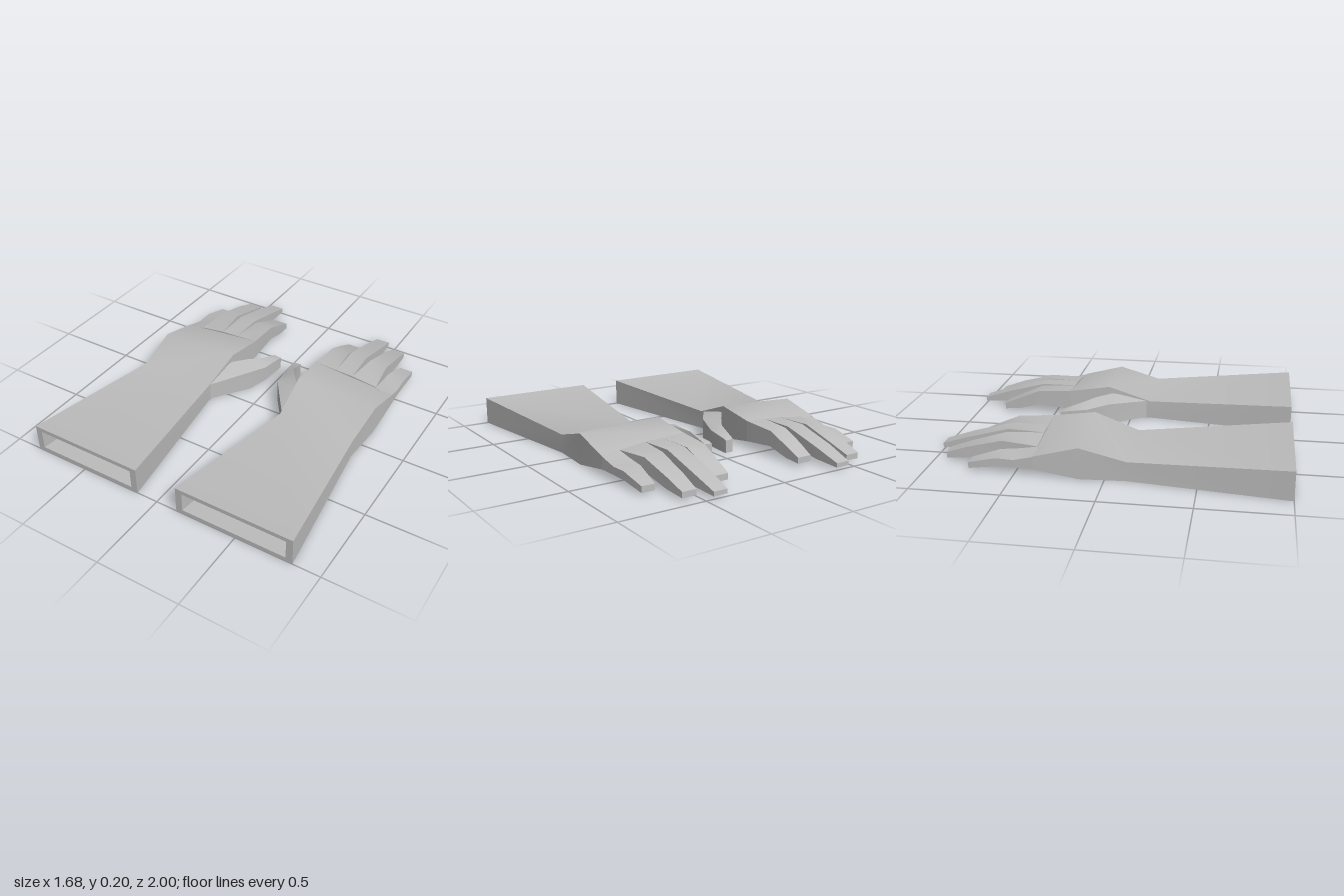
import * as THREE from 'three';
import { toCreasedNormals } from 'three/addons/utils/BufferGeometryUtils.js';

// A section is [x0, z0, x1, z1, bottom, top0, top1]: a four-cornered slice between two plan points.
const slice = (x0, x1, z, bottom, top0, top1 = top0) => [x0, z, x1, z, bottom, top0, top1];

// Capped loft through four-cornered sections; side = -1 gives the mirrored hand.
function loft(sections, side) {
  const rings = sections.map(([x0, z0, x1, z1, b, t0, t1]) => [
    [x0, b, z0], [x1, b, z1], [x1, t1, z1], [x0, t0, z0],
  ]);
  const positions = [];
  const tri = (a, b, c) => {
    for (const p of side > 0 ? [a, b, c] : [a, c, b]) positions.push(p[0] * side, p[1], p[2]);
  };
  const quad = (a, b, c, d) => { tri(a, b, c); tri(a, c, d); };
  quad(...rings[0]);
  for (let k = 0; k < rings.length - 1; k++) {
    const a = rings[k], b = rings[k + 1];
    for (let i = 0; i < 4; i++) {
      const j = (i + 1) % 4;
      quad(a[i], b[i], b[j], a[j]);
    }
  }
  quad(...[...rings[rings.length - 1]].reverse());
  const geometry = new THREE.BufferGeometry();
  geometry.setAttribute('position', new THREE.Float32BufferAttribute(positions, 3));
  return toCreasedNormals(geometry, 0.6);
}

const parts = {
  // Hollow cuff, forearm, wrist, heel of the hand and knuckles in one run
  cuffAndPalm: [
    slice(0.225, 0.74, 0.51, 0.025, 0.125),
    slice(0.17, 0.80, 1, 0.025, 0.14),
    slice(0.13, 0.84, 1, 0, 0.165),
    slice(0.255, 0.73, 0.12, 0, 0.11),
    slice(0.235, 0.745, -0.14, 0, 0.2, 0.18),
    slice(0.225, 0.745, -0.39, 0.04, 0.163, 0.115),
  ],
  indexFinger: [
    slice(0.225, 0.365, -0.39, 0.04, 0.163, 0.155),
    slice(0.23, 0.345, -0.6, 0.06, 0.15),
    slice(0.235, 0.34, -0.73, 0.025, 0.095),
    slice(0.24, 0.33, -0.83, 0.015, 0.05),
  ],
  middleFinger: [
    slice(0.365, 0.475, -0.39, 0.04, 0.155, 0.15),
    slice(0.36, 0.467, -0.6, 0.065, 0.156),
    slice(0.363, 0.465, -0.84, 0.025, 0.092),
    slice(0.37, 0.455, -1, 0.015, 0.04),
  ],
  ringFinger: [
    slice(0.475, 0.635, -0.39, 0.04, 0.15, 0.13),
    slice(0.498, 0.61, -0.6, 0.06, 0.15, 0.14),
    slice(0.502, 0.605, -0.8, 0.025, 0.09),
    slice(0.51, 0.595, -0.93, 0.012, 0.045),
  ],
  littleFinger: [
    slice(0.635, 0.745, -0.38, 0.04, 0.13, 0.115),
    slice(0.632, 0.738, -0.5, 0.04, 0.11, 0.085),
    slice(0.632, 0.736, -0.6, 0.04, 0.1, 0.088),
    slice(0.645, 0.725, -0.76, 0.015, 0.05),
  ],
  // Thumb leaves the side of the palm and bends forward
  thumb: [
    [0.27, 0.12, 0.27, -0.08, 0.005, 0.11, 0.16],
    [0.1, -0.12, 0.165, -0.215, 0.003, 0.13, 0.15],
    [0.065, -0.25, 0.115, -0.29, 0.002, 0.1, 0.13],
    [0.05, -0.4, 0.102, -0.4, 0.002, 0.085, 0.09],
    [0.05, -0.42, 0.098, -0.42, 0.005, 0.078, 0.082],
  ],
};

export function createModel() {
  const model = new THREE.Group();
  model.name = 'pairOfGloves';
  const fabric = new THREE.MeshStandardMaterial({ color: 0xbcbcbc });
  fabric.name = 'grey fabric';

  for (const [name, side] of [['leftGlove', 1], ['rightGlove', -1]]) {
    const glove = new THREE.Group();
    glove.name = name;
    for (const [part, sections] of Object.entries(parts)) {
      const mesh = new THREE.Mesh(loft(sections, side), fabric);
      mesh.name = part;
      glove.add(mesh);
    }
    model.add(glove);
  }
  return model;
}
